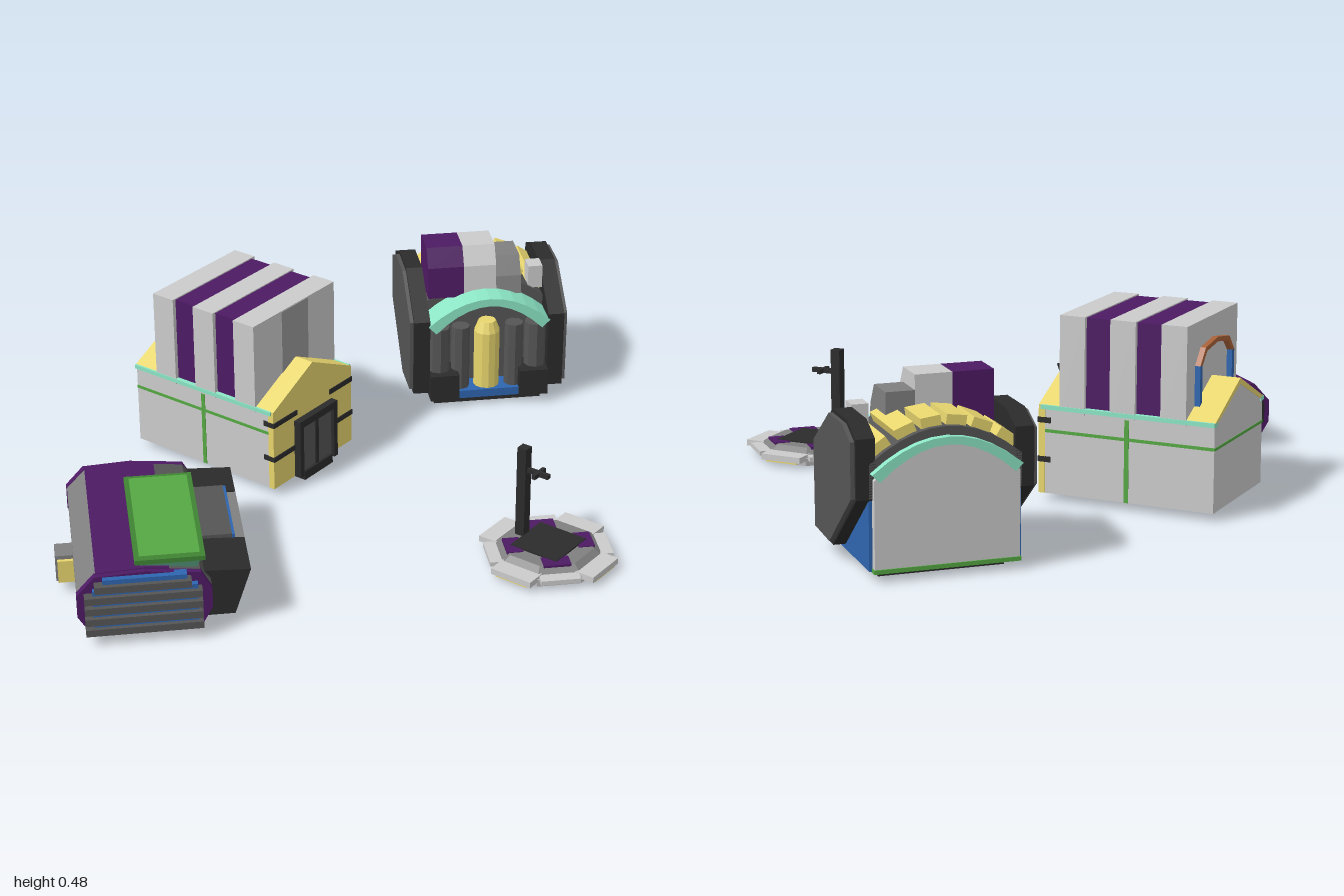
import * as THREE from 'three';

const GREY = 0xcccccc, MID = 0x808080, SLATE = 0x555555, BLACK = 0x2b2b2b, PURPLE = 0x4d1a63,
  YELLOW = 0xe8d66e, TEAL = 0x8ce6c6, GREEN = 0x55a843, BLUE = 0x2f66b0, ORANGE = 0xa86238;
const mats = new Map();
const mat = (color) => {
  if (!mats.has(color)) mats.set(color, new THREE.MeshStandardMaterial({ color, flatShading: true }));
  return mats.get(color);
};
function add(parent, name, geo, color, x = 0, y = 0, z = 0) {
  const m = new THREE.Mesh(geo, mat(color));
  m.name = name;
  m.position.set(x, y, z);
  parent.add(m);
  return m;
}
// box given by its limits on each axis
function box(parent, name, color, x0, x1, y0, y1, z0, z1) {
  return add(parent, name, new THREE.BoxGeometry(x1 - x0, y1 - y0, z1 - z0), color,
    (x0 + x1) / 2, (y0 + y1) / 2, (z0 + z1) / 2);
}
const shapeOf = (pts) => new THREE.Shape(pts.map((p) => new THREE.Vector2(...p)));
// x-y outline running along z
function prismZ(parent, name, color, pts, z0, z1) {
  const g = new THREE.ExtrudeGeometry(shapeOf(pts), { depth: z1 - z0, bevelEnabled: false });
  return add(parent, name, g, color, 0, 0, z0);
}
// z-y outline running along x
function prismX(parent, name, color, pts, x0, x1) {
  const g = new THREE.ExtrudeGeometry(shapeOf(pts), { depth: x1 - x0, bevelEnabled: false });
  return add(parent, name, g.rotateY(-Math.PI / 2), color, x1, 0, 0);
}
function group(name, x, z, turn = 0) {
  const g = new THREE.Group();
  g.name = name;
  g.position.set(x, 0, z);
  g.rotation.y = turn;
  return g;
}

// Tall hall with a gabled lower storey
function createHall() {
  const g = group('hall', 0.005, -0.455);
  const gable = (w, b, e, p) => [[-w, b], [w, b], [w, e], [0, p], [-w, e]];
  prismZ(g, 'lowerStorey', GREY, gable(0.165, 0.02, 0.235, 0.31), -0.233, 0.215);
  prismZ(g, 'facade', YELLOW, gable(0.167, 0.02, 0.24, 0.32), 0.215, 0.232);
  for (const [z0, z1] of [[-0.235, -0.16], [0.17, 0.232]])
    prismZ(g, 'roof', YELLOW, [[-0.165, 0.235], [0, 0.31], [0.165, 0.235], [0.167, 0.245], [0, 0.325], [-0.167, 0.245]], z0, z1);
  // striped upper block
  for (let i = 0; i < 5; i++) {
    const w = i % 2 ? 0.158 : 0.169, z = 0.175 - i * 0.067;
    box(g, i % 2 ? 'purpleBand' : 'towerSlab', i % 2 ? PURPLE : GREY, -w, w, 0.23, i % 2 ? 0.473 : 0.476, z - 0.067, z);
  }
  box(g, 'towerPanel', 0x999999, -0.055, 0.055, 0.25, 0.474, 0.17, 0.177);
  for (const s of [-1, 1]) {
    const side = (n, c, a, b, ...r) => box(g, n, c, Math.min(s * a, s * b), Math.max(s * a, s * b), ...r);
    side('eave', TEAL, 0.15, 0.171, 0.235, 0.246, -0.235, 0.225);
    side('sideStripe', GREEN, 0.16, 0.1665, 0.176, 0.184, -0.233, 0.215);
    side('sideStripe', GREEN, 0.16, 0.1665, 0.02, 0.235, -0.01, 0.002);
    for (const y of [0.1, 0.2]) side('facadeBand', BLACK, 0.07, 0.168, y, y + 0.014, 0.2, 0.235);
    // rear arch jambs
    side('archJamb', BLUE, 0.1, 0.115, 0.24, 0.37, -0.174, -0.158);
    side('doorPost', BLACK, 0.065, 0.08, 0.02, 0.18, 0.2, 0.252);
  }
  prismZ(g, 'rearArch', ORANGE, [[-0.115, 0.37], [-0.1, 0.37], [-0.07, 0.4], [0, 0.41], [0.07, 0.4],
    [0.1, 0.37], [0.115, 0.37], [0.08, 0.41], [0, 0.422], [-0.08, 0.41]], -0.174, -0.158);
  box(g, 'rearStripe', GREEN, -0.165, 0.165, 0.176, 0.183, -0.2345, -0.22);
  box(g, 'door', SLATE, -0.066, 0.066, 0.02, 0.17, 0.2, 0.242);
  box(g, 'doorSeam', BLACK, -0.006, 0.006, 0.02, 0.17, 0.2, 0.246);
  box(g, 'doorLintel', BLACK, -0.08, 0.08, 0.165, 0.185, 0.2, 0.252);
  // underside
  box(g, 'baseFrame', SLATE, -0.13, 0.13, 0.01, 0.03, -0.17, 0.2);
  box(g, 'basePanel', BLACK, -0.09, 0.09, 0.005, 0.02, -0.13, 0.15);
  box(g, 'doorStep', BLACK, -0.06, 0.06, 0.005, 0.03, 0.16, 0.25);
  return g;
}

// Low platform with a mast
function createPad() {
  const g = group('landingPad', 0.005, 0.52);
  const disc = (name, color, r0, r1, y0, y1) => add(g, name,
    new THREE.CylinderGeometry(r1, r0, y1 - y0, 8).rotateY(Math.PI / 8), color, 0, (y0 + y1) / 2, 0);
  disc('base', GREY, 0.145, 0.15, 0, 0.022);
  disc('deck', MID, 0.145, 0.115, 0.022, 0.042);
  for (let i = 0; i < 4; i++) {
    const arm = group('arm', 0, 0, i * Math.PI / 2);
    box(arm, 'armPlate', GREY, -0.058, 0.058, 0.014, 0.03, 0.11, 0.17);
    box(arm, 'armTrim', YELLOW, -0.045, 0.045, 0.01, 0.016, 0.13, 0.168);
    g.add(arm);
    const corner = group('corner', 0, 0, (i + 0.5) * Math.PI / 2);
    box(corner, 'cornerPlate', GREY, -0.05, 0.05, 0.016, 0.028, 0.1, 0.157);
    box(corner, 'cornerTrim', PURPLE, -0.035, 0.035, 0.03, 0.044, 0.07, 0.112);
    g.add(corner);
  }
  box(g, 'deckPanel', BLACK, -0.068, 0.068, 0.03, 0.046, -0.068, 0.068);
  box(g, 'mast', BLACK, -0.013, 0.013, 0.03, 0.29, -0.092, -0.066);
  box(g, 'mastArm', BLACK, -0.006, 0.006, 0.223, 0.235, -0.07, -0.005);
  box(g, 'mastHandle', BLACK, -0.025, 0.025, 0.223, 0.235, -0.04, -0.03);
  return g;
}

// Long low building with a raised green roof panel
function createDepot() {
  const g = group('depot', -0.68, -0.239, Math.PI / 4);
  const skin = [[-0.13, 0.025], [0.13, 0.025], [0.155, 0.07], [0.155, 0.12], [0.13, 0.165], [0, 0.178], [-0.115, 0.172], [-0.158, 0.125], [-0.158, 0.07]];
  prismX(g, 'body', BLACK, skin, -0.255, 0.27);
  const grown = skin.map(([z, y]) => [z * 1.03, 0.1 + (y - 0.1) * 1.04]);
  prismX(g, 'endFrame', PURPLE, grown, -0.265, -0.245);
  prismX(g, 'endFrame', PURPLE, grown, 0.255, 0.276);
  prismX(g, 'endCap', BLACK, skin.map(([z, y]) => [z * 0.92, 0.1 + (y - 0.1) * 0.9]), 0.27, 0.284);
  prismX(g, 'roof', PURPLE, [[-0.115, 0.16], [0.06, 0.16], [0.06, 0.178], [0, 0.183], [-0.115, 0.177]], -0.25, 0.26);
  prismX(g, 'frontRoof', SLATE, [[0.06, 0.15], [0.16, 0.11], [0.158, 0.135], [0.133, 0.168], [0.06, 0.176]], -0.25, 0.26);
  prismX(g, 'rearSlope', MID, [[-0.115, 0.15], [-0.115, 0.176], [-0.161, 0.127], [-0.161, 0.085], [-0.15, 0.085]], -0.245, 0.255);
  // raised panel
  prismX(g, 'panelTray', 0x4c8a70, [[0.0, 0.17], [0.125, 0.165], [0.143, 0.203], [-0.018, 0.203]], -0.24, 0.115);
  box(g, 'greenRim', 0x3f8433, -0.265, 0.14, 0.2, 0.212, -0.022, 0.146);
  box(g, 'greenPanel', GREEN, -0.25, 0.125, 0.205, 0.215, -0.01, 0.134);
  // louvred left end
  for (let i = 0; i < 5; i++) {
    const y = 0.028 + i * 0.029, d = i === 4 ? 0.11 : 0.135;
    box(g, 'endLouvre', SLATE, -0.292, -0.255, y, y + 0.018, -d - 0.01, d);
    box(g, 'endGap', BLUE, -0.28, -0.255, y + 0.016, y + 0.03, -d + 0.01, d - 0.01);
  }
  // front annex with leaning wings and louvred bay
  const wing = [[0.1, 0.03], [0.215, 0.03], [0.255, 0.15], [0.14, 0.155]];
  prismX(g, 'frontWing', BLACK, wing, -0.24, -0.09);
  prismX(g, 'frontWing', BLACK, wing, 0.14, 0.26);
  box(g, 'bayCore', SLATE, -0.09, 0.15, 0.03, 0.162, 0.1, 0.225);
  for (let i = 0; i < 4; i++) {
    const y = 0.03 + i * 0.032;
    box(g, 'bayLouvre', i === 3 ? MID : SLATE, -0.095, 0.165, y, y + 0.02, 0.15, 0.235 + i * 0.007);
    box(g, 'bayGap', BLUE, -0.085, 0.155, y + 0.018, y + 0.032, 0.15, 0.232);
  }
  // rear porch
  box(g, 'rearPorch', MID, -0.03, 0.03, 0.03, 0.1, -0.205, -0.14);
  for (const x of [-0.04, 0.03]) box(g, 'porchSide', YELLOW, x, x + 0.01, 0.03, 0.09, -0.2, -0.14);
  // foundation
  add(g, 'foundation', new THREE.CylinderGeometry(0.16, 0.15, 0.02, 8).rotateY(Math.PI / 8).scale(1.35, 1, 0.9), MID, 0, 0.018, 0);
  for (const [x, z] of [[-0.16, 0], [0.16, 0], [0, -0.1], [0, 0.1]])
    box(g, 'footing', YELLOW, x - 0.03, x + 0.03, 0.004, 0.012, z - 0.025, z + 0.025);
  return g;
}

// Vaulted workshop between two heavy side walls
function createWorkshop() {
  const g = group('workshop', 0.719, -0.186, -Math.PI / 4);
  const arc = (w, y0, y1, n = 10) => Array.from({ length: n + 1 }, (_, i) => {
    const t = i / n * 2 - 1;
    return [t * w, y1 - (y1 - y0) * t * t];
  });
  const arched = (w, b, y0, y1) => [[w, b], ...arc(w, y0, y1).reverse(), [-w, b]];
  const band = (w, y0, y1, t) => [...arc(w, y0, y1), ...arc(w - t, y0 - t, y1 - t).reverse()];
  box(g, 'base', BLACK, -0.15, 0.15, 0, 0.03, -0.13, 0.15);
  box(g, 'lowerCore', BLUE, -0.18, 0.18, 0.022, 0.2, -0.16, 0.08);
  prismZ(g, 'vault', SLATE, arched(0.18, 0.19, 0.27, 0.345), -0.165, 0.08);
  prismZ(g, 'rearWall', GREY, arched(0.172, 0.025, 0.235, 0.31), -0.178, -0.15);
  prismZ(g, 'rearArch', TEAL, band(0.178, 0.25, 0.325, 0.018), -0.184, -0.14);
  box(g, 'rearSill', GREEN, -0.174, 0.174, 0.02, 0.03, -0.181, -0.15);
  // yellow roof ribs stepping over the vault
  for (let i = 0; i < 6; i++) {
    const x = -0.15 + i * 0.06;
    const rib = box(g, 'roofRib', YELLOW, x - 0.024, x + 0.024, 0.31, 0.335, -0.15, 0.04);
    rib.position.y = 0.355 - 2.2 * x * x;
    rib.rotation.z = Math.atan(-4.4 * x);
  }
  // chamfered side walls
  const wall = [[0.16, 0.04], [0.165, 0.26], [0.02, 0.36], [-0.1, 0.36], [-0.165, 0.33], [-0.165, 0.19], [0.03, 0.035]].reverse();
  const inner = wall.map(([z, y]) => [z * 0.94, 0.21 + (y - 0.21) * 0.94]);
  for (const s of [-1, 1]) {
    prismX(g, 'sideWall', BLACK, wall, s > 0 ? 0.165 : -0.21, s > 0 ? 0.21 : -0.165);
    prismX(g, 'sidePanel', SLATE, inner, s > 0 ? 0.2 : -0.22, s > 0 ? 0.22 : -0.2);
    // entrance columns
    for (const [x, r] of [[0.075, 0.026], [0.135, 0.03]])
      add(g, 'column', new THREE.CylinderGeometry(r, r, 0.2, 8), SLATE, s * x, 0.13, 0.135);
    box(g, 'frontFoot', BLACK, s * 0.125 - 0.04, s * 0.125 + 0.04, 0.025, 0.1, 0.1, 0.185);
  }
  // entrance
  prismZ(g, 'frontWall', SLATE, arched(0.165, 0.03, 0.235, 0.305), 0.07, 0.1);
  prismZ(g, 'frontArch', TEAL, band(0.17, 0.245, 0.32, 0.022), 0.07, 0.168);
  add(g, 'tank', new THREE.CylinderGeometry(0.036, 0.036, 0.17, 12), YELLOW, 0, 0.125, 0.13);
  add(g, 'tankCap', new THREE.CylinderGeometry(0.024, 0.036, 0.03, 12), YELLOW, 0, 0.225, 0.13);
  box(g, 'frontSill', BLUE, -0.1, 0.1, 0.022, 0.045, 0.08, 0.172);
  // rooftop plant
  const plant = (h) => [[-0.03, 0.3], [0.1, 0.3], [0.09, h - 0.05], [0.06, h], [-0.03, h]];
  prismX(g, 'roofBlock', PURPLE, plant(0.436), -0.16, -0.06);
  prismX(g, 'roofBlock', GREY, plant(0.436), -0.06, 0.03);
  prismX(g, 'roofBlock', MID, plant(0.4), 0.03, 0.1);
  box(g, 'roofVent', GREY, 0.125, 0.165, 0.3, 0.365, 0.02, 0.07);
  return g;
}

export function createModel() {
  const model = new THREE.Group();
  model.name = 'baseBuildings';
  model.add(createHall(), createPad(), createDepot(), createWorkshop());
  return model;
}
